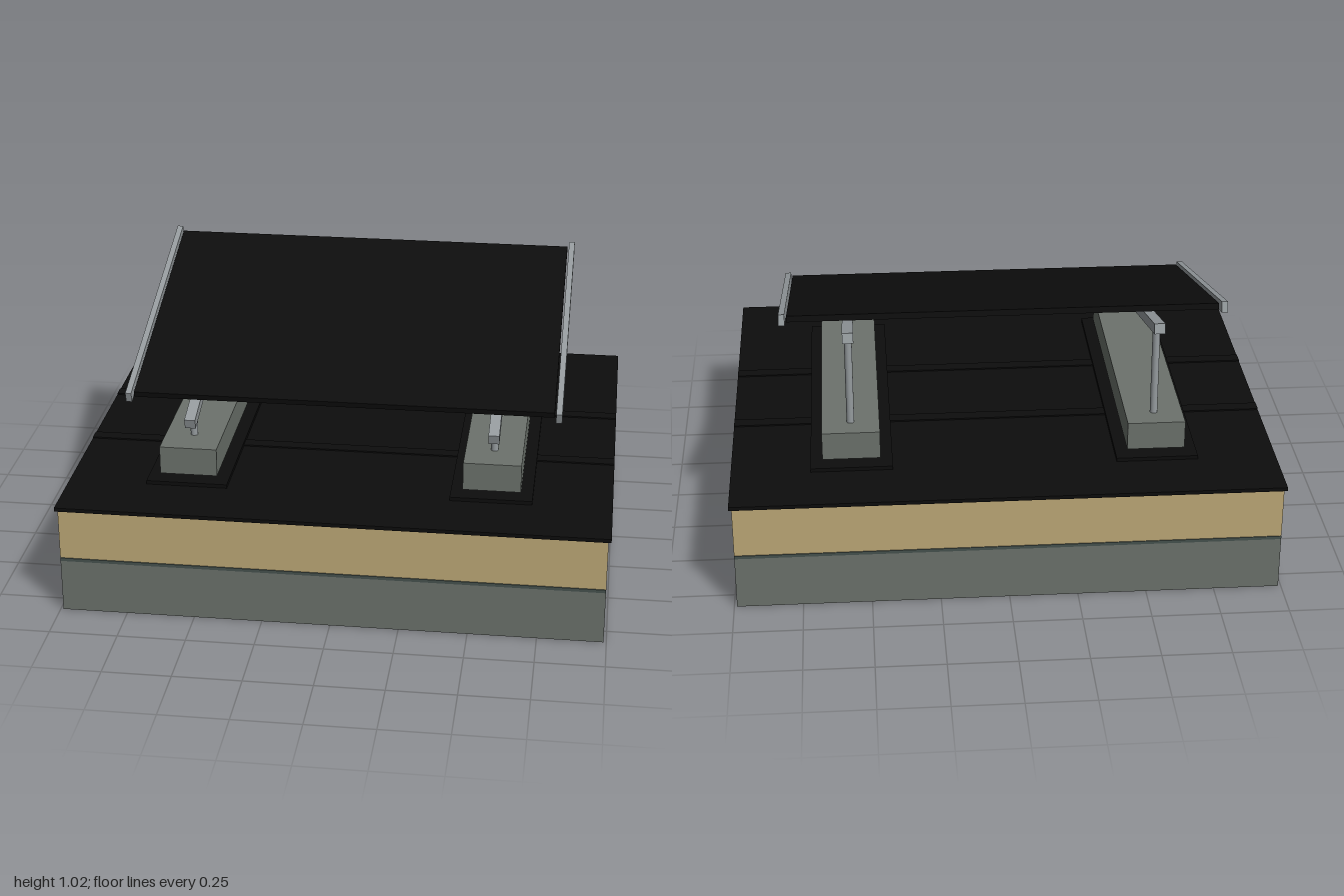
import * as THREE from 'three';

const mat = (name, color) => {
  const m = new THREE.MeshStandardMaterial({ color });
  m.name = name;
  return m;
};

export function createModel() {
  const model = new THREE.Group();
  model.name = 'roofMountedPanel';

  const concrete = mat('concrete', 0x6c726c);
  const barrierGrey = mat('barrierGrey', 0x46524e);
  const foam = mat('insulationTan', 0xbea977);
  const black = mat('matteBlack', 0x0d0d0d);
  const metal = mat('metal', 0x969c9f);

  const add = (parent, name, geometry, material, x, y, z) => {
    const mesh = new THREE.Mesh(geometry, material);
    mesh.name = name;
    mesh.position.set(x, y, z);
    parent.add(mesh);
    return mesh;
  };
  // Box spanning y0..y1
  const slab = (name, w, d, y0, y1, material, x = 0, z = 0) =>
    add(model, name, new THREE.BoxGeometry(w, y1 - y0, d), material, x, (y0 + y1) / 2, z);
  // Upright rod spanning y0..y1
  const rod = (name, r, y0, y1, material, x, z) =>
    add(model, name, new THREE.CylinderGeometry(r, r, y1 - y0, 16), material, x, (y0 + y1) / 2, z);

  // Layered roof deck
  slab('roofSlab', 1.98, 1.66, 0, 0.2, concrete);
  slab('vapourBarrier', 1.98, 1.66, 0.2, 0.212, barrierGrey);
  slab('insulation', 1.98, 1.66, 0.214, 0.406, foam);
  slab('membrane', 2, 1.68, 0.406, 0.42, black);
  for (const z of [-0.21, 0.21]) slab('membraneSeam', 2, 0.05, 0.42, 0.425, black, 0, z);

  const tilt = THREE.MathUtils.degToRad(16);

  // Ballast, posts and sloping rail on each side
  for (const x of [-0.56, 0.56]) {
    slab('protectionPad', 0.3, 1.21, 0.42, 0.434, black, x);
    slab('ballastBlock', 0.212, 1.12, 0.446, 0.552, concrete, x);
    rod('anchor', 0.018, 0.212, 0.446, metal, x, 0.49);
    rod('frontPost', 0.014, 0.552, 0.635, metal, x, 0.43);
    rod('backPost', 0.014, 0.552, 0.895, metal, x, -0.47);
    const rail = add(model, 'rail', new THREE.BoxGeometry(0.04, 0.038, 1.1), metal, x, 0.777, -0.022);
    rail.rotation.x = tilt;
  }

  // Tilted panel with a bar along each side
  const panel = new THREE.Group();
  panel.name = 'panelAssembly';
  panel.position.set(0, 0.858, -0.031);
  panel.rotation.x = tilt;
  model.add(panel);
  add(panel, 'panel', new THREE.BoxGeometry(1.55, 0.022, 1.03), black, 0, 0, 0);
  for (const s of [-1, 1])
    add(panel, 'sideBar', new THREE.BoxGeometry(0.022, 0.04, 1.07), metal, s * 0.792, 0, 0);

  return model;
}
